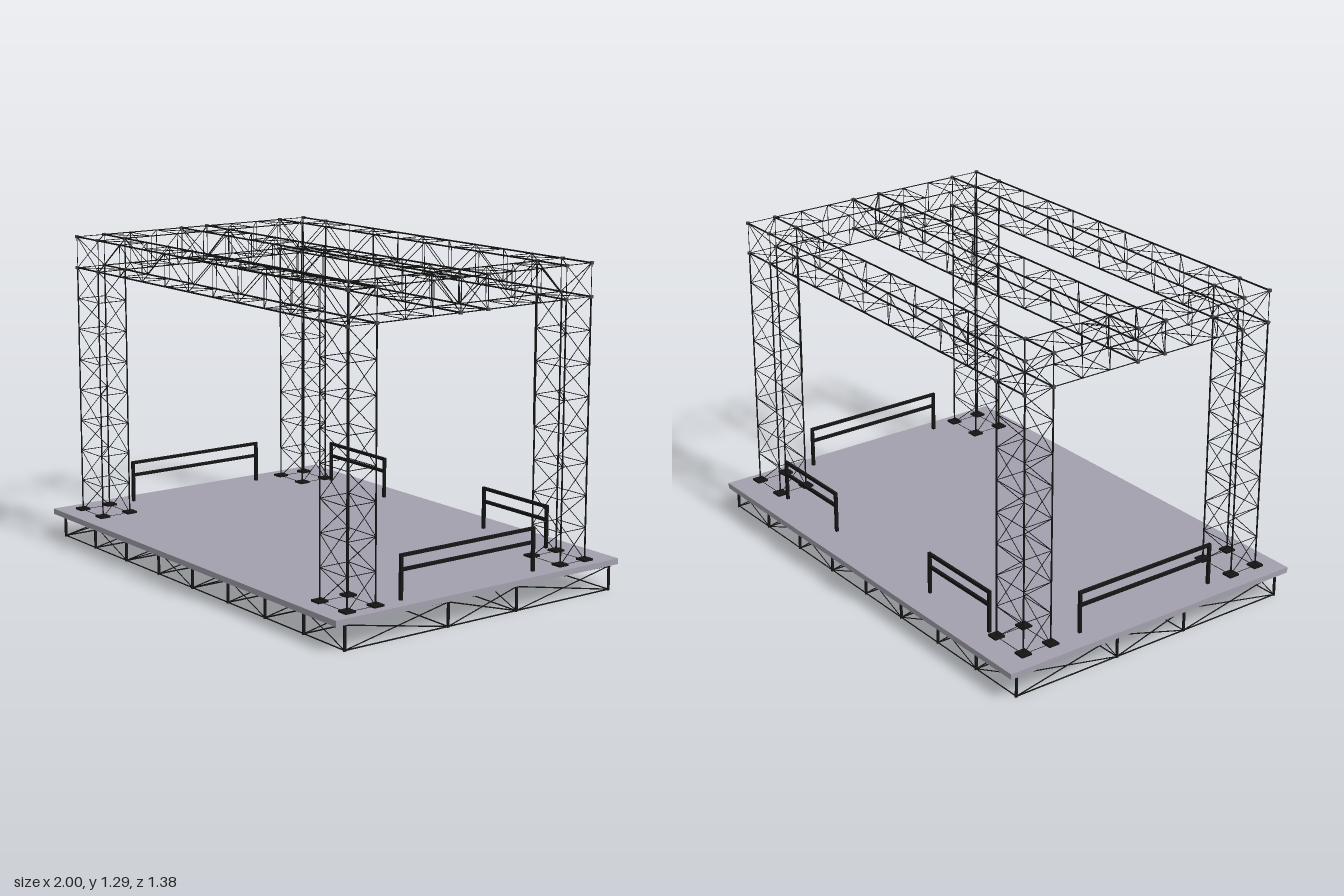
import * as THREE from 'three';
import { mergeGeometries } from 'three/addons/utils/BufferGeometryUtils.js';

function paint(name, color) {
  const m = new THREE.MeshStandardMaterial({ color });
  m.name = name;
  return m;
}
const steel = paint('black steel', 0x151515);
const jointGrey = paint('joint grey', 0x4c4c4c);
const deckGrey = paint('deck grey', 0xa3a0ad);

const UP = new THREE.Vector3(0, 1, 0);
const BRACE = 0.0015;

// Round bar between two points
function bar(a, b, r) {
  const p = new THREE.Vector3(...a), q = new THREE.Vector3(...b);
  const d = q.clone().sub(p), len = d.length();
  const g = new THREE.CylinderGeometry(r, r, len, 6);
  g.applyQuaternion(new THREE.Quaternion().setFromUnitVectors(UP, d.normalize()));
  const m = p.add(q).multiplyScalar(0.5);
  return g.translate(m.x, m.y, m.z);
}

function block(w, h, d, x, y, z) {
  return new THREE.BoxGeometry(w, h, d).translate(x, y, z);
}

function part(name, geos, material = steel) {
  const mesh = new THREE.Mesh(mergeGeometries(geos), material);
  mesh.name = name;
  return mesh;
}

// Square truss filling the box lo..hi along one axis: chords, frames, zigzag braces
function truss(lo, hi, axis, bays, chord, endCross = false) {
  const u = (axis + 1) % 3, v = (axis + 2) % 3, geos = [];
  const corners = [[0, 0], [1, 0], [1, 1], [0, 1]];
  const at = (t, k) => {
    const p = [0, 0, 0], c = corners[k % 4];
    p[axis] = lo[axis] + (hi[axis] - lo[axis]) * t / bays;
    p[u] = c[0] ? hi[u] : lo[u];
    p[v] = c[1] ? hi[v] : lo[v];
    return p;
  };
  for (let k = 0; k < 4; k++) {
    geos.push(bar(at(0, k), at(bays, k), chord));
    for (let i = 0; i <= bays; i++) {
      geos.push(bar(at(i, k), at(i, k + 1), BRACE));
      if (i === bays) continue;
      const flip = i % 2;
      geos.push(bar(at(i, k + flip), at(i + 1, k + 1 - flip), BRACE));
    }
  }
  if (endCross) {
    for (const t of [0, bays]) {
      geos.push(bar(at(t, 0), at(t, 2), BRACE), bar(at(t, 1), at(t, 3), BRACE));
    }
  }
  return geos;
}

// Joint blocks on every combination of the given coordinates
function joints(xs, ys, zs) {
  const geos = [];
  for (const x of xs) for (const y of ys) for (const z of zs) geos.push(block(0.012, 0.012, 0.012, x, y, z));
  return geos;
}

// Two-post guard rail between two floor points
function guardRail(x0, z0, x1, z1) {
  const t = 0.012, w = Math.abs(x1 - x0) + t, d = Math.abs(z1 - z0) + t;
  const cx = (x0 + x1) / 2, cz = (z0 + z1) / 2;
  return [
    block(w, t, d, cx, 0.292, cz),
    block(w, t, d, cx, 0.238, cz),
    block(t, 0.172, t, x0, 0.209, z0),
    block(t, 0.172, t, x1, 0.209, z1),
  ];
}

export function createModel() {
  const model = new THREE.Group();
  model.name = 'stage';

  const deckTop = 0.123, beamLow = 1.158, beamHigh = 1.287;
  const xs = [[-0.912, -0.748], [0.777, 0.94]];
  const zs = [[-0.565, -0.437], [0.465, 0.595]];

  // Floor
  model.add(part('deck', [block(2, 0.023, 1.376, 0, 0.1115, 0)], deckGrey));

  // Frame under the floor: posts, crossed braces and bottom rails
  const frame = [];
  const fx = Array.from({ length: 9 }, (_, i) => -0.975 + i * 0.246);
  const fz = [-0.645, -0.167, 0.167, 0.645];
  const low = 0.004, high = 0.098;
  fx.forEach((x, i) => fz.forEach((z, j) => {
    frame.push(block(0.006, 0.1, 0.01, x, 0.05, z));
    const [a, b] = (i + j) % 2 ? [low, high] : [high, low];
    if (i < 8) frame.push(bar([x, a, z], [fx[i + 1], b, z], 0.002));
    if (j < 3) {
      frame.push(bar([x, a, z], [x, b, fz[j + 1]], 0.0025));
      frame.push(bar([x, b, z], [x, a, fz[j + 1]], 0.0025));
    }
  }));
  for (const z of fz) frame.push(bar([fx[0], low, z], [fx[8], low, z], 0.0025));
  for (const x of fx) frame.push(bar([x, low, fz[0]], [x, low, fz[3]], 0.003));
  model.add(part('underFrame', frame));

  // Corner towers with foot plates
  for (const [x0, x1] of xs) {
    for (const [z0, z1] of zs) {
      const geos = truss([x0, deckTop, z0], [x1, beamLow, z1], 1, 8, 0.0034);
      for (const x of [x0, x1]) {
        for (const z of [z0, z1]) geos.push(block(0.046, 0.008, 0.046, x, deckTop + 0.004, z));
      }
      model.add(part('tower', geos));
      model.add(part('towerJoints', joints([x0, x1], [beamLow, beamHigh], [z0, z1]), jointGrey));
    }
  }

  // Thick pole on the inner leg of one rear tower
  model.add(part('towerPole', [bar([0.775, 0.65, -0.437], [0.775, beamLow, -0.437], 0.005)]));

  // Roof beams across the width
  const left = xs[0][0], right = xs[1][1], middle = [-0.05, 0.08];
  for (const [z0, z1] of [...zs, middle]) {
    model.add(part('crossBeam', truss([left, beamLow, z0], [right, beamHigh, z1], 0, 11, 0.0034, true)));
  }
  model.add(part('middleBeamJoints', joints([left, right], [beamLow, beamHigh], middle), jointGrey));

  // Roof beams along the sides
  for (const [x0, x1] of xs) {
    model.add(part('sideBeam', truss([x0, beamLow, zs[0][1]], [x1, beamHigh, zs[1][0]], 2, 7, 0.0022)));
  }

  // Guard rails at the back and both sides
  model.add(part('backRail', guardRail(-0.703, -0.565, -0.32, -0.565)));
  model.add(part('backRail', guardRail(0.34, -0.565, 0.718, -0.565)));
  for (const x of [-0.91, 0.936]) model.add(part('sideRail', guardRail(x, -0.298, x, 0.345)));

  return model;
}
